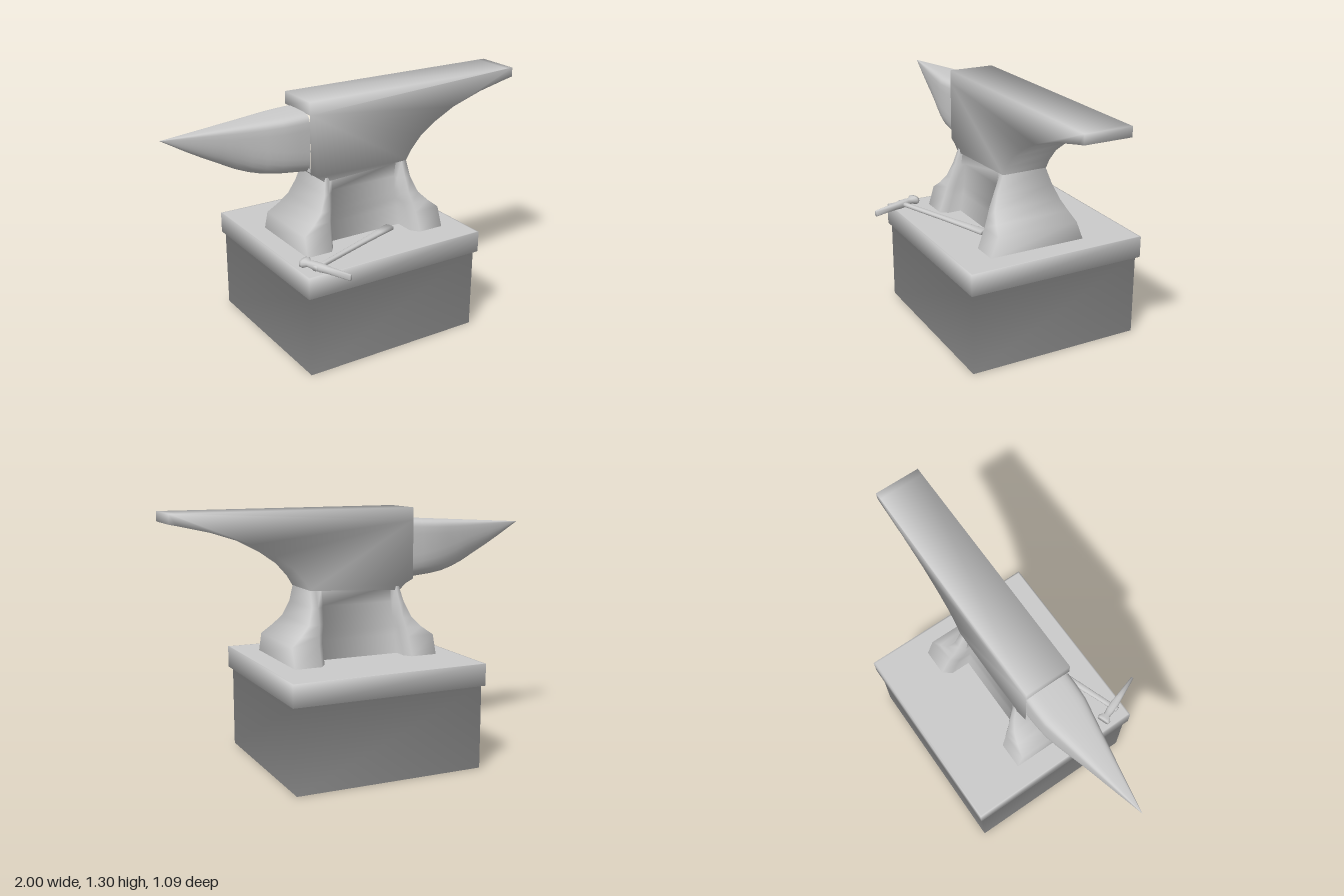
import * as THREE from 'three';
import { mergeVertices } from 'three/addons/utils/BufferGeometryUtils.js';

const grey = new THREE.MeshStandardMaterial({ color: 0xcccccc });
const Z0 = -0.013; // centre line of the anvil
const HALF = 0.122; // half width of the anvil body

function mesh(name, geometry, parent) {
  const m = new THREE.Mesh(geometry, grey);
  m.name = name;
  parent.add(m);
}

// Weld all corners and give them soft normals weighted by corner angle; drop hidden triangles
function soften(geometry, hidden = () => false) {
  geometry.deleteAttribute('normal');
  geometry.deleteAttribute('uv');
  const g = mergeVertices(geometry, 1e-4);
  const pos = g.attributes.position;
  const normals = Array.from({ length: pos.count }, () => new THREE.Vector3());
  const kept = [];
  for (let i = 0; i < g.index.count; i += 3) {
    const ids = [0, 1, 2].map(k => g.index.getX(i + k));
    const p = ids.map(id => new THREE.Vector3().fromBufferAttribute(pos, id));
    if (hidden(p)) continue;
    kept.push(...ids);
    const face = new THREE.Triangle(...p).getNormal(new THREE.Vector3());
    ids.forEach((id, k) => {
      const u = p[(k + 1) % 3].clone().sub(p[k]);
      const v = p[(k + 2) % 3].clone().sub(p[k]);
      normals[id].addScaledVector(face, u.angleTo(v));
    });
  }
  g.setIndex(kept);
  g.setAttribute('normal', new THREE.Float32BufferAttribute(normals.flatMap(n => n.normalize().toArray()), 3));
  return g;
}

// Skin over rings of [x, y, z], each counter-clockwise when facing the direction of travel's end
function loft(rings, caps = true) {
  const n = rings[0].length;
  const index = [];
  for (let i = 0; i < rings.length - 1; i++) {
    for (let j = 0; j < n; j++) {
      const a = i * n + j, b = i * n + (j + 1) % n;
      index.push(a, b, b + n, a, b + n, a + n);
    }
  }
  if (caps) {
    const last = (rings.length - 1) * n;
    for (let j = 1; j < n - 1; j++) {
      index.push(0, j + 1, j, last, last + j, last + j + 1);
    }
  }
  const g = new THREE.BufferGeometry();
  g.setAttribute('position', new THREE.Float32BufferAttribute(rings.flat(2), 3));
  g.setIndex(index);
  return soften(g);
}

// Squared-off oval; the lower half may have its own height and squareness
function oval(count, a, up, down = up, e = 3, eDown = e) {
  return Array.from({ length: count }, (_, i) => {
    const t = (i / count) * Math.PI * 2;
    const c = Math.cos(t), s = Math.sin(t);
    const k = 2 / (s < 0 ? eDown : e);
    return [a * Math.sign(c) * Math.abs(c) ** k, (s < 0 ? down : up) * Math.sign(s) * Math.abs(s) ** k];
  });
}

// Block and overhanging cap as one soft-shaded skin
function buildStump(parent) {
  // y, x range, z range
  const levels = [
    [0, -0.46, 0.54, -0.535, 0.4],
    [0.432, -0.46, 0.54, -0.535, 0.4],
    [0.432, -0.475, 0.56, -0.55, 0.415],
    [0.545, -0.475, 0.56, -0.55, 0.415],
    [0.545, -0.467, 0.552, -0.542, 0.407],
  ];
  mesh('blockWithCap', loft(levels.map(([y, x0, x1, z0, z1]) =>
    [[x1, y, z1], [x1, y, z0], [x0, y, z0], [x0, y, z1]])), parent);
}

function buildBody(parent) {
  const outline = [[-0.28, 1.305], [-0.28, 1.24], [-0.28, 0.935], [-0.24, 0.915], [-0.2, 0.88], [0.3, 0.905],
    [0.33, 0.955], [0.39, 1.022], [0.48, 1.085], [0.6, 1.147], [0.78, 1.206], [0.96, 1.247], [1, 1.255],
    [1, 1.305], [0.96, 1.305]];
  const shape = new THREE.Shape(outline.map(p => new THREE.Vector2(...p)));
  const g = new THREE.ExtrudeGeometry(shape, { depth: HALF * 2, bevelEnabled: false });
  g.translate(0, 0, Z0 - HALF);
  // faces covered by the horn and the waist
  const hidden = p => p.every(v => v.x < -0.279 && v.y < 1.25)
    || p.every(v => v.y < 0.906 && v.x > -0.21);
  mesh('anvilBody', soften(g, hidden), parent);
}

function buildHorn(parent) {
  // x, underside height
  const stations = [[-0.28, 0.935], [-0.34, 0.94], [-0.42, 0.946], [-0.5, 0.956], [-0.57, 0.975], [-0.64, 1.002],
    [-0.72, 1.045], [-0.8, 1.087], [-0.88, 1.132], [-0.95, 1.174], [-1, 1.204]];
  const rings = stations.map(([x, bottom]) => {
    const top = 1.205 + (x + 1) * 0.055;
    const w = Math.max(0.0005, HALF * Math.min(1, (x + 1) / 0.6));
    const h = top - bottom;
    const square = 2.1 + 2.5 * Math.max(0, (x + 0.65) / 0.38);
    return oval(32, w, h * 0.25, h * 0.75, 4.5, square)
      .map(([p, q]) => [x, top - h * 0.25 + q, Z0 + p]);
  });
  mesh('horn', loft(rings, false), parent);
}

// Waist with four flared feet: an H-shaped plan that spreads towards the bottom
function buildBase(parent) {
  // y, left end, right end, left and right flange edges, web half width
  const levels = [
    [0.54, -0.365, 0.44, -0.225, 0.3, 0.115],
    [0.645, -0.362, 0.44, -0.215, 0.295, 0.102],
    [0.69, -0.3, 0.385, -0.21, 0.288, 0.1],
    [0.74, -0.25, 0.335, -0.2, 0.277, 0.1],
    [0.82, -0.215, 0.305, -0.19, 0.272, 0.102],
    [0.905, -0.197, 0.299, -0.18, 0.27, 0.118],
  ];
  const rings = levels.map(([y, L, R, l, r, w]) => {
    const f = (0.905 - y) / 0.36;
    const hl = 0.121 + 0.105 * f, hr = 0.121 + 0.141 * f;
    const li = l + 0.03, ri = r - 0.035;
    const bl = hl * 0.78 + w * 0.1, br = hr * 0.78 + w * 0.1;
    return [[R, hr], [R, -hr], [r, -hr], [ri, -br], [ri, -w], [li, -w], [li, -bl], [l, -hl],
      [L, -hl], [L, hl], [l, hl], [li, bl], [li, w], [ri, w], [ri, br], [r, hr]].map(([x, z]) => [x, y, Z0 + z]);
  });
  mesh('waistAndFeet', loft(rings, false), parent);
}

function buildHammer(parent) {
  const hammer = new THREE.Group();
  hammer.name = 'hammer';
  // z, half width, half height
  const head = [[-0.095, 0.034, 0.021], [-0.08, 0.036, 0.023], [-0.06, 0.018, 0.015], [-0.03, 0.021, 0.019],
    [0.02, 0.023, 0.02], [0.06, 0.018, 0.017], [0.195, 0.007, 0.017]];
  mesh('hammerHead', loft(head.map(([z, a, b]) => oval(12, a, b).map(([p, q]) => [p, q, z]))), hammer);
  // x, half height, half width
  const handle = [[-0.03, 0.012, 0.014], [0.05, 0.011, 0.014], [0.35, 0.011, 0.018], [0.5, 0.012, 0.023],
    [0.6, 0.013, 0.028]];
  mesh('hammerHandle', loft(handle.map(([x, a, b]) => oval(12, a, b).map(([p, q]) => [x, p, q]))), hammer);
  hammer.position.set(-0.39, 0.565, 0.36);
  hammer.rotation.y = 0.36;
  parent.add(hammer);
}

export function createModel() {
  const model = new THREE.Group();
  model.name = 'anvilOnBlock';
  buildStump(model);
  const anvil = new THREE.Group();
  anvil.name = 'anvil';
  buildBody(anvil);
  buildHorn(anvil);
  buildBase(anvil);
  model.add(anvil);
  buildHammer(model);
  return model;
}
